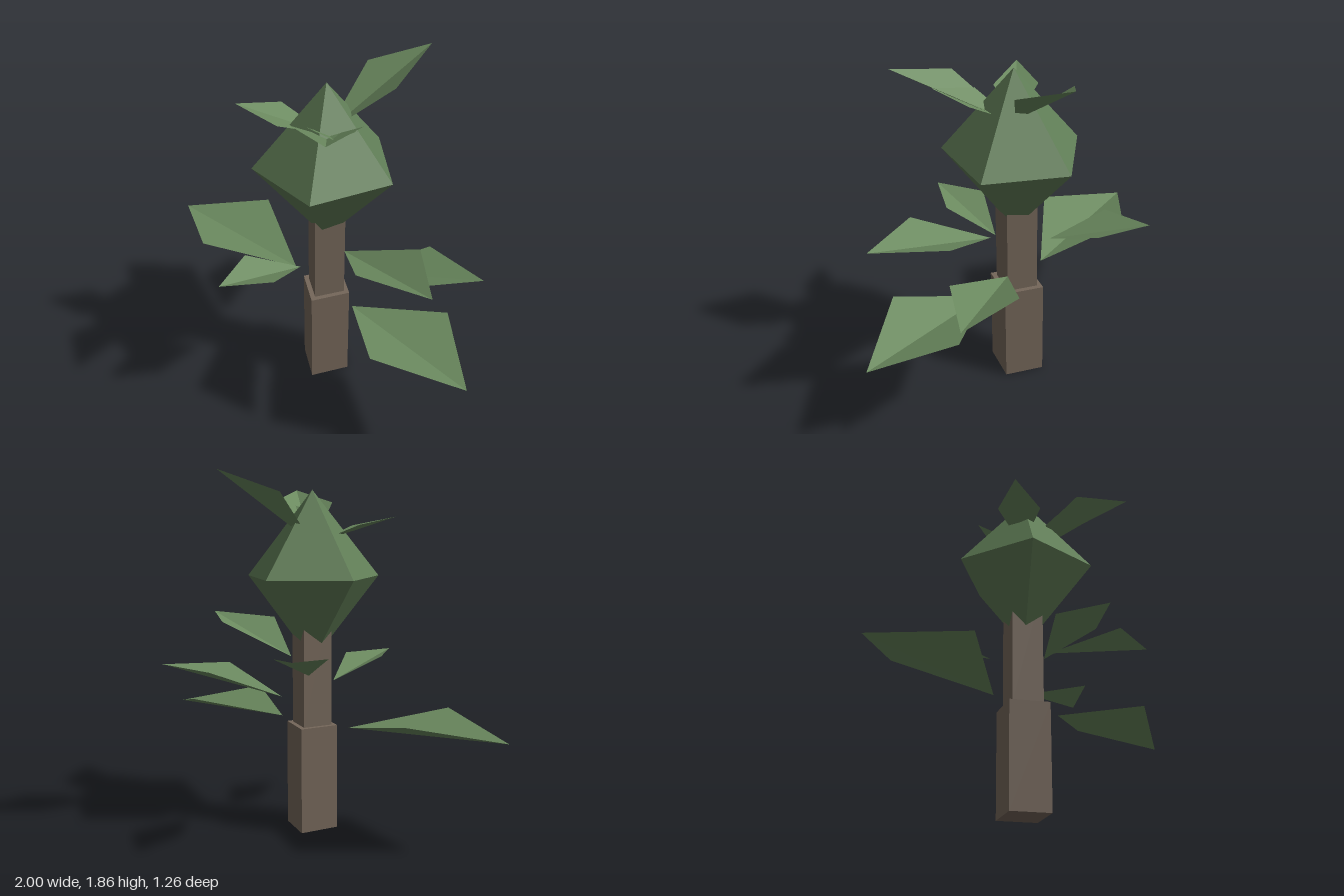
import * as THREE from 'three';

const CX = 0.055, CZ = 0.025; // trunk axis

const leafMaterial = new THREE.MeshStandardMaterial({ color: 0x6b8a5f, flatShading: true, side: THREE.DoubleSide });
const crownMaterial = new THREE.MeshStandardMaterial({ color: 0x607d56, flatShading: true });
const barkMaterial = new THREE.MeshStandardMaterial({ color: 0x75675a, flatShading: true });

// Four-sided post with its corners on the axes
function post(name, rx, rz, y0, y1) {
  const geometry = new THREE.CylinderGeometry(1, 1, y1 - y0, 4);
  geometry.scale(rx, 1, rz);
  const mesh = new THREE.Mesh(geometry, barkMaterial);
  mesh.name = name;
  mesh.position.set(CX, (y0 + y1) / 2, CZ);
  return mesh;
}

// Leaf of two triangles folded along the rib from base to tip
function leaf(name, base, sideA, tip, sideB) {
  const geometry = new THREE.BufferGeometry();
  const corners = [base, sideA, tip, base, tip, sideB].flat();
  geometry.setAttribute('position', new THREE.Float32BufferAttribute(corners, 3));
  // turn the top of the leaf upwards
  const [b, a, t] = [base, sideA, tip].map((p) => new THREE.Vector3(...p));
  if (a.sub(b).cross(t.sub(b)).y < 0) geometry.scale(1, 1, 1).setIndex([0, 2, 1, 3, 5, 4]);
  geometry.computeVertexNormals();
  const mesh = new THREE.Mesh(geometry, leafMaterial);
  mesh.name = name;
  return mesh;
}

export function createModel() {
  const model = new THREE.Group();
  model.name = 'tree';

  // Trunk in two steps
  model.add(post('lowerTrunk', 0.14, 0.155, 0, 0.555));
  model.add(post('upperTrunk', 0.108, 0.118, 0.555, 1.2));

  // Crown: five-sided double pyramid
  const crownGeometry = new THREE.SphereGeometry(1, 5, 2);
  crownGeometry.rotateY(Math.PI);
  crownGeometry.scale(0.36, 0.44, 0.365);
  const crown = new THREE.Mesh(crownGeometry, crownMaterial);
  crown.name = 'crown';
  crown.position.set(CX, 1.325, 0.033);
  model.add(crown);

  // Leaves around the trunk: base, side, tip, side
  const trunkLeaves = [
    [[-0.16, 0.557, -0.02], [-0.55, 0.665, -0.355], [-1, 0.58, -0.165], [-0.64, 0.66, 0.17]],
    [[0.26, 0.56, 0.115], [0.55, 0.64, 0.48], [1, 0.545, 0.355], [0.74, 0.64, 0]],
    [[0.215, 0.69, 0], [0.53, 0.835, -0.215], [0.875, 0.84, -0.09], [0.58, 0.835, 0.13]],
    [[0.2, 0.89, 0.1], [0.43, 1.06, 0.42], [0.81, 1.08, 0.42], [0.605, 1.06, 0.1]],
    [[-0.01, 0.76, 0.18], [0.01, 0.87, 0.46], [-0.195, 0.88, 0.63], [-0.225, 0.875, 0.36]],
    [[0.01, 0.84, -0.145], [0.085, 0.965, -0.43], [-0.095, 0.99, -0.635], [-0.175, 0.97, -0.37]],
  ];
  trunkLeaves.forEach((points, i) => model.add(leaf(`trunkLeaf${i + 1}`, ...points)));

  // Leaves growing out of the crown from its axis: base height, then side, tip, side
  const crownLeaves = [
    [1.475, [0.06, 1.705, 0.36], [0.335, 1.775, 0.535], [0.34, 1.705, 0.205]],
    [1.49, [-0.2, 1.59, 0.02], [-0.34, 1.63, 0.205], [-0.1, 1.585, 0.22]],
    [1.5, [0.1, 1.75, -0.29], [0.375, 1.855, -0.405], [0.34, 1.745, -0.105]],
    [1.49, [0.07, 1.635, 0.235], [0.275, 1.69, 0.35], [0.28, 1.635, 0.15]],
  ];
  crownLeaves.forEach(([y, ...points], i) => model.add(leaf(`crownLeaf${i + 1}`, [CX, y, CZ], ...points)));

  return model;
}
